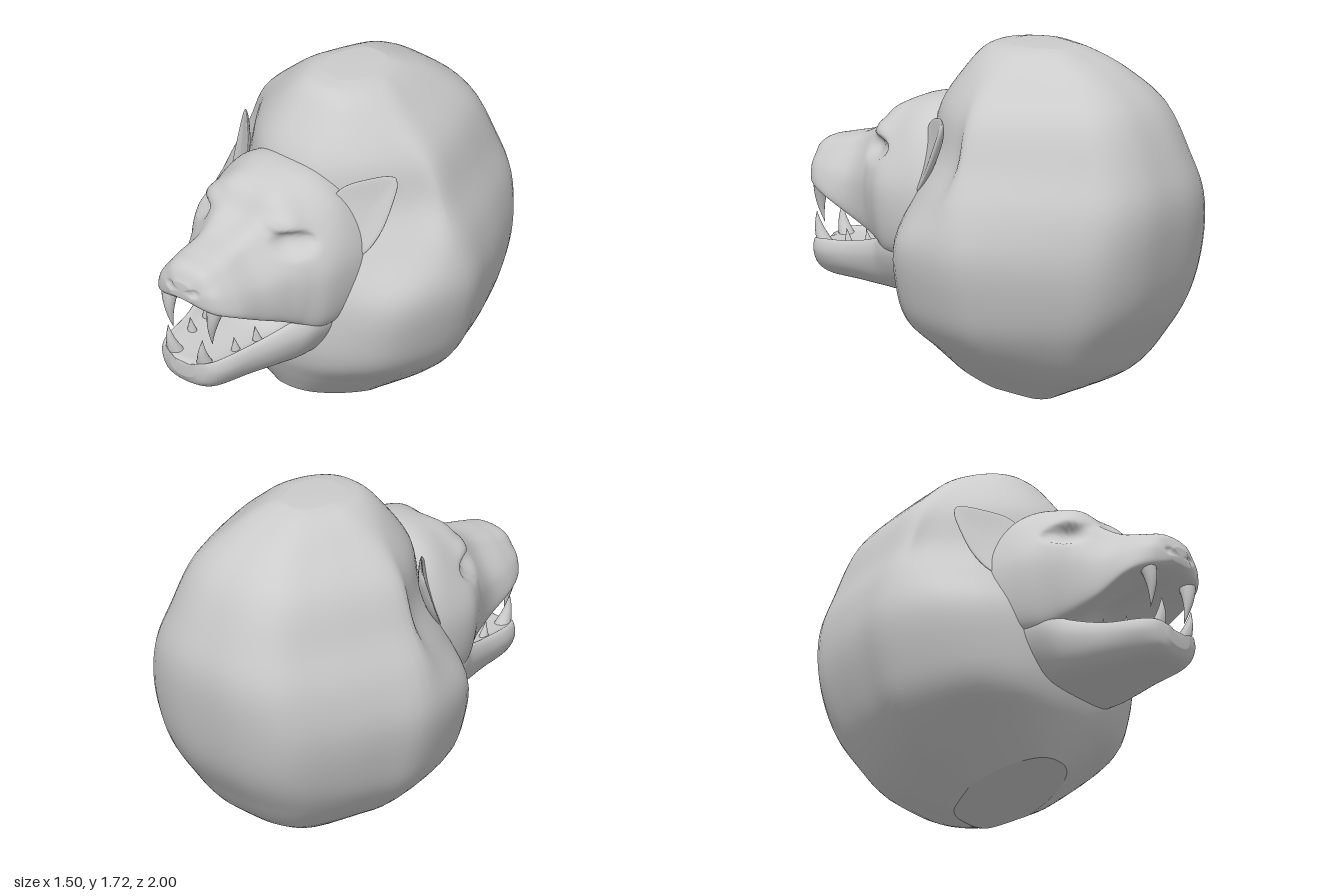
import * as THREE from 'three';

const material = new THREE.MeshStandardMaterial({ color: 0xcccccc });
const V = (x, y, z) => new THREE.Vector3(x, y, z);

function add(parent, name, geometry) {
  const mesh = new THREE.Mesh(geometry, material);
  mesh.name = name;
  parent.add(mesh);
  return mesh;
}

// Complete a half ring (centre line to centre line) with its mirror image
function mirrorRing(half) {
  const other = half.slice(1, -1).reverse().map((p) => V(-p.x, p.y, p.z));
  return [...half, ...other];
}

// Smooth closed skin through control rings, with capped ends (the last one sharp if asked)
function loft(rings, along, around, sharpEnd = false) {
  const columns = rings[0].map((_, k) => new THREE.CatmullRomCurve3(rings.map((r) => r[k]), false, 'catmullrom', 0.5));
  const pos = [], index = [];
  for (let i = 0; i <= along; i++) {
    const ring = new THREE.CatmullRomCurve3(columns.map((c) => c.getPoint(i / along)), true, 'catmullrom', 0.5);
    for (let j = 0; j < around; j++) pos.push(...ring.getPoint(j / around).toArray());
  }
  for (let i = 0; i < along; i++) {
    for (let j = 0; j < around; j++) {
      const a = i * around + j, b = i * around + (j + 1) % around;
      index.push(a, a + around, b, b, a + around, b + around);
    }
  }
  for (const end of [0, along]) {
    let start = end * around;
    const points = pos.slice(start * 3, (start + around) * 3);
    const centre = V(0, 0, 0);
    for (let j = 0; j < around; j++) centre.add(V(points[j * 3], points[j * 3 + 1], points[j * 3 + 2]));
    if (end && sharpEnd) {
      start = pos.length / 3;
      pos.push(...points);
    }
    const c = pos.length / 3;
    pos.push(...centre.divideScalar(around).toArray());
    for (let j = 0; j < around; j++) {
      const a = start + j, b = start + (j + 1) % around;
      if (end) index.push(a, c, b);
      else index.push(a, b, c);
    }
  }
  const geo = new THREE.BufferGeometry();
  geo.setAttribute('position', new THREE.Float32BufferAttribute(pos, 3));
  geo.setIndex(index);
  geo.computeVertexNormals();
  return geo;
}

// Sections of [z, x0, y0, x1, y1, ...] running from top centre to bottom centre
function loftAlongZ(sections, along, around) {
  return loft(sections.map(([z, ...p]) => {
    const half = [];
    for (let i = 0; i < p.length; i += 2) half.push(V(p[i], p[i + 1], z));
    return mirrorRing(half);
  }), along, around);
}

// Soft push on both sides of the face
function sculpt(geo, [cx, cy, cz], [rx, ry, rz], [dx, dy, dz]) {
  const p = geo.attributes.position;
  for (let i = 0; i < p.count; i++) {
    const x = p.getX(i), y = p.getY(i), z = p.getZ(i);
    const d = ((Math.abs(x) - cx) / rx) ** 2 + ((y - cy) / ry) ** 2 + ((z - cz) / rz) ** 2;
    const w = Math.exp(-d * d);
    p.setXYZ(i, x + Math.sign(x) * dx * w, y + dy * w, z + dz * w);
  }
  geo.computeVertexNormals();
}

// Curved pointed tooth from base to tip
function tooth(base, tip, radius, bend) {
  const geo = new THREE.ConeGeometry(radius, 1, 14, 10);
  const p = geo.attributes.position, axis = tip.clone().sub(base);
  for (let i = 0; i < p.count; i++) {
    const t = p.getY(i) + 0.5;
    const c = base.clone().addScaledVector(axis, t);
    const s = axis.y > 0 ? 1 : -1;
    p.setXYZ(i, c.x + p.getX(i), c.y, c.z + s * p.getZ(i) + bend * Math.sin(Math.PI * t));
  }
  geo.computeVertexNormals();
  return geo;
}

// Cupped ear: a flattened sphere stretched to an outline and leaned back
function earGeometry(side) {
  const outline = [[0.47, 1.39], [0.41, 1.385], [0.30, 1.335], [0.27, 1.22], [0.34, 1.06], [0.42, 1.01], [0.475, 1.12], [0.495, 1.3], [0.49, 1.365]];
  const curve = new THREE.CatmullRomCurve3(outline.map(([x, y]) => V(x, y, 0)), true, 'catmullrom', 0.5);
  const geo = new THREE.SphereGeometry(1, 48, 24).rotateX(Math.PI / 2);
  const p = geo.attributes.position, cx = 0.405, cy = 1.22;
  const start = Math.atan2(1.39 - cy, 0.47 - cx);
  for (let i = 0; i < p.count; i++) {
    const r = Math.min(1, Math.hypot(p.getX(i), p.getY(i)));
    const turn = ((Math.atan2(p.getY(i), p.getX(i)) - start) / (2 * Math.PI) + 2) % 1;
    const o = curve.getPoint(turn);
    const x = cx + r * (o.x - cx), y = cy + r * (o.y - cy);
    const z = 0.285 - 0.9 * (x - 0.3) - 0.35 * (y - 1.05) - 0.035 * (1 - r * r) + 0.025 * p.getZ(i);
    p.setXYZ(i, side * x, y, z);
  }
  if (side < 0) {
    const f = geo.index.array;
    for (let i = 0; i < f.length; i += 3) [f[i], f[i + 1]] = [f[i + 1], f[i]];
  }
  geo.computeVertexNormals();
  return geo;
}

export function createModel() {
  const model = new THREE.Group();
  model.name = 'roaringCatHead';

  // Mane: rows of front height, back height, half width, front z, middle z, back z, front slope
  const rows = [
    [1.72, 1.72, 0.13, -0.09, -0.22, -0.4, 1],
    [1.695, 1.685, 0.22, 0.02, -0.22, -0.5, 1],
    [1.6, 1.6, 0.34, 0.11, -0.2, -0.67, 1.2],
    [1.41, 1.44, 0.52, 0.24, -0.2, -0.84, 1.8],
    [1.2, 1.2, 0.62, 0.28, -0.2, -0.95, 2.2],
    [1.0, 1.0, 0.71, 0.31, -0.2, -1.0, 1.3],
    [0.8, 0.76, 0.75, 0.36, -0.2, -0.98, 0.7],
    [0.56, 0.52, 0.7, 0.38, -0.2, -0.92, 0.7],
    [0.4, 0.33, 0.62, 0.36, -0.2, -0.81, 0.75],
    [0.28, 0.15, 0.46, 0.31, -0.2, -0.66, 1],
    [0.155, 0, 0.22, 0.24, -0.1, -0.33, 1],
  ];
  const shape = [[0, 1], [0.33, 0.96], [0.62, 0.8], [0.88, 0.45], [1, 0], [0.9, -0.3], [0.76, -0.6], [0.59, -0.86], [0.32, -0.98], [0, -1]];
  add(model, 'mane', loft(rows.map(([yf, yb, w, zf, zm, zb, slope]) => mirrorRing(shape.map(([u, v]) => {
    const z = v > 0 ? zm + v ** slope * (zf - zm) : zm - v * (zb - zm);
    return V(u * w, yb + (yf - yb) * (z - zb) / (zf - zb), z);
  }))), 50, 72, true));

  // Skull and upper muzzle
  const skull = loftAlongZ([
    [0.05, 0, 1.36, 0.18, 1.32, 0.33, 1.2, 0.42, 1.0, 0.37, 0.72, 0.2, 0.64, 0, 0.64],
    [0.24, 0, 1.41, 0.19, 1.38, 0.34, 1.25, 0.435, 1.0, 0.395, 0.72, 0.22, 0.64, 0, 0.64],
    [0.4, 0, 1.39, 0.17, 1.36, 0.32, 1.22, 0.425, 1.0, 0.375, 0.71, 0.22, 0.66, 0, 0.67],
    [0.5, 0, 1.33, 0.15, 1.33, 0.28, 1.22, 0.37, 1.0, 0.32, 0.745, 0.21, 0.74, 0, 0.82],
    [0.58, 0, 1.24, 0.13, 1.245, 0.22, 1.16, 0.31, 1.0, 0.285, 0.775, 0.19, 0.78, 0, 0.87],
    [0.7, 0, 1.18, 0.1, 1.175, 0.16, 1.12, 0.25, 0.98, 0.255, 0.82, 0.18, 0.825, 0, 0.89],
    [0.85, 0, 1.145, 0.1, 1.13, 0.16, 1.08, 0.22, 0.99, 0.24, 0.89, 0.17, 0.885, 0, 0.91],
    [0.95, 0, 1.115, 0.09, 1.1, 0.14, 1.05, 0.175, 1.0, 0.18, 0.93, 0.12, 0.92, 0, 0.935],
    [0.998, 0, 1.045, 0.035, 1.04, 0.055, 1.02, 0.07, 0.995, 0.06, 0.97, 0.03, 0.965, 0, 0.965],
  ], 96, 112);
  sculpt(skull, [0.24, 1.25, 0.52], [0.1, 0.04, 0.08], [0.005, 0, 0.015]); // brows
  sculpt(skull, [0.28, 1.16, 0.5], [0.1, 0.055, 0.1], [-0.025, 0, -0.05]); // eye sockets
  sculpt(skull, [0.07, 1.01, 0.98], [0.03, 0.02, 0.04], [0, 0, -0.012]); // nostrils
  add(model, 'skullAndMuzzle', skull);

  // Open lower jaw
  add(model, 'lowerJaw', loftAlongZ([
    [0.15, 0, 0.75, 0.2, 0.75, 0.34, 0.8, 0.38, 0.7, 0.33, 0.58, 0.2, 0.47, 0, 0.45],
    [0.4, 0, 0.72, 0.2, 0.72, 0.33, 0.77, 0.36, 0.68, 0.3, 0.55, 0.2, 0.465, 0, 0.445],
    [0.53, 0, 0.65, 0.18, 0.65, 0.265, 0.715, 0.3, 0.64, 0.26, 0.53, 0.17, 0.465, 0, 0.45],
    [0.7, 0, 0.63, 0.15, 0.635, 0.215, 0.67, 0.24, 0.61, 0.215, 0.53, 0.14, 0.47, 0, 0.455],
    [0.88, 0, 0.62, 0.13, 0.63, 0.18, 0.65, 0.2, 0.59, 0.17, 0.52, 0.11, 0.475, 0, 0.465],
    [0.955, 0, 0.62, 0.1, 0.62, 0.14, 0.64, 0.155, 0.59, 0.13, 0.53, 0.08, 0.5, 0, 0.49],
    [0.985, 0, 0.61, 0.04, 0.61, 0.07, 0.62, 0.075, 0.58, 0.065, 0.555, 0.04, 0.54, 0, 0.535],
  ], 60, 80));

  // Ears and teeth on both sides
  for (const s of [1, -1]) {
    const side = s > 0 ? 'left' : 'right';
    add(model, side + 'Ear', earGeometry(s));
    add(model, side + 'UpperFang', tooth(V(s * 0.15, 0.95, 0.9), V(s * 0.125, 0.72, 0.91), 0.05, 0.02));
    add(model, side + 'LowerFang', tooth(V(s * 0.095, 0.62, 0.93), V(s * 0.11, 0.765, 0.965), 0.04, 0.01));
    add(model, side + 'FrontMolar', tooth(V(s * 0.14, 0.63, 0.76), V(s * 0.14, 0.71, 0.775), 0.024, 0));
    add(model, side + 'BackMolar', tooth(V(s * 0.16, 0.64, 0.63), V(s * 0.16, 0.725, 0.65), 0.024, 0));
  }
  return model;
}
